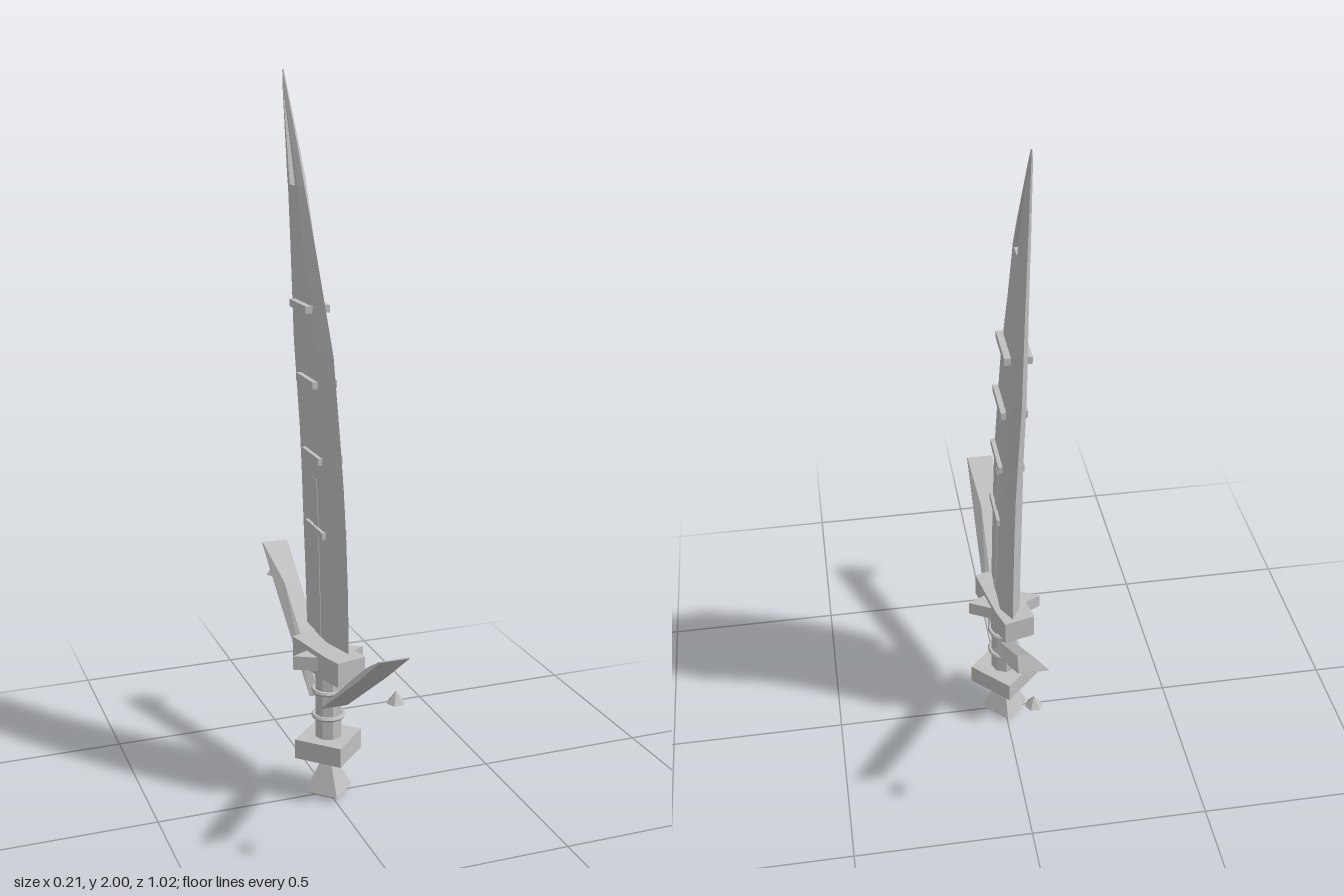
import * as THREE from 'three';

const steel = new THREE.MeshStandardMaterial({ color: 0xc0c0c0, flatShading: true });
steel.name = 'steel grey';

function add(parent, name, geometry, x = 0, y = 0, z = 0) {
  const mesh = new THREE.Mesh(geometry, steel);
  mesh.name = name;
  mesh.position.set(x, y, z);
  parent.add(mesh);
  return mesh;
}

// Closed solid through matching loops of points, counter-clockwise seen from the last loop
function loft(loops) {
  const n = loops[0].length;
  const out = [];
  const tri = (a, b, c) => out.push(...a, ...b, ...c);
  for (let k = 0; k < loops.length - 1; k++) {
    const a = loops[k], b = loops[k + 1];
    for (let i = 0; i < n; i++) {
      const j = (i + 1) % n;
      tri(a[i], a[j], b[j]);
      tri(a[i], b[j], b[i]);
    }
  }
  const first = loops[0], last = loops[loops.length - 1];
  for (let i = 1; i < n - 1; i++) {
    tri(first[0], first[i + 1], first[i]);
    tri(last[0], last[i], last[i + 1]);
  }
  const g = new THREE.BufferGeometry();
  g.setAttribute('position', new THREE.Float32BufferAttribute(out, 3));
  g.computeVertexNormals();
  return g;
}

// Upright prism with the given number of sides
const prism = (top, bottom, h, sides) => new THREE.CylinderGeometry(top, bottom, h, sides);

function buildBlade(group) {
  // height, cutting edge, front ridge, rear ridge, spine, half thickness
  const rows = [
    [0.49, 0.16, 0.06, -0.10, -0.15, 0.028],
    [0.65, 0.153, 0.05, -0.115, -0.16, 0.027],
    [0.81, 0.138, 0.035, -0.135, -0.173, 0.026],
    [0.94, 0.118, 0.02, -0.15, -0.19, 0.025],
    [1.05, 0.095, 0.0, -0.17, -0.213, 0.023],
    [1.28, 0.04, -0.055, -0.225, -0.27, 0.020],
    [1.545, -0.10, -0.155, -0.262, -0.30, 0.016],
    [1.70, -0.187, -0.21, -0.285, -0.322, 0.014],
  ];
  add(group, 'blade', loft(rows.map(([y, f, r1, r2, b, t]) => [
    [0, y, f], [t, y, r1], [t, y, r2], [0, y, b], [-t, y, r2], [-t, y, r1],
  ])));

  // Two prongs either side of the slot, meeting at the tip
  const front = [[1.70, -0.187, -0.208, -0.225, 0.014], [1.79, -0.235, -0.252, -0.265, 0.011],
    [1.96, -0.338, -0.345, -0.35, 0.005], [2.0, -0.362, -0.363, -0.364, 0.002]];
  add(group, 'frontProng', loft(front.map(([y, f, r, a, t]) => [
    [0, y, f], [t, y, r], [t, y, a], [-t, y, a], [-t, y, r],
  ])));
  const rear = [[1.70, -0.27, -0.288, -0.322, 0.014],
    [1.96, -0.35, -0.353, -0.359, 0.005], [2.0, -0.362, -0.363, -0.365, 0.002]];
  add(group, 'rearProng', loft(rear.map(([y, a, r, b, t]) => [
    [t, y, a], [t, y, r], [0, y, b], [-t, y, r], [-t, y, a],
  ])));

  // Raised strip along the lower blade
  const strip = [[0.49, 0.016, 0.0295], [0.65, 0.008, 0.0285], [0.81, -0.007, 0.0275], [0.93, -0.022, 0.0265]];
  add(group, 'centreStrip', loft(strip.map(([y, z, t]) => [
    [t, y, z], [t, y, z - 0.038], [-t, y, z - 0.038], [-t, y, z],
  ])));

  // Cross bars
  for (const [y, z] of [[0.79, -0.022], [0.99, -0.052], [1.19, -0.095], [1.385, -0.15]]) {
    add(group, 'crossBar', new THREE.BoxGeometry(0.07, 0.02, 0.135), 0, y, z);
  }
}

function buildHilt(group) {
  // Twisted six-cornered guard
  const half = [[0.07, 0.103], [0.035, -0.07], [0.017, -0.125]];
  const corners = [...half, ...half.map(([x, z]) => [-x, -z])];
  const shape = new THREE.Shape(corners.map(([x, z]) => new THREE.Vector2(x, -z)));
  const guard = new THREE.ExtrudeGeometry(shape, { depth: 0.07, bevelEnabled: false });
  guard.rotateX(-Math.PI / 2);
  add(group, 'guard', guard, 0, 0.38, 0);
  add(group, 'guardSpike', prism(0.104, 0.104, 0.04, 4), 0, 0.415, 0).scale.z = 0.53;

  // Grip with two rings
  add(group, 'grip', prism(0.039, 0.039, 0.22, 8), 0, 0.28, 0);
  for (const y of [0.245, 0.322]) {
    const ring = new THREE.TorusGeometry(0.042, 0.007, 6, 16);
    ring.rotateX(Math.PI / 2);
    add(group, 'gripRing', ring, 0, y, 0);
  }

  // Pommel
  add(group, 'pommelBlock', prism(0.1, 0.1, 0.057, 4), 0, 0.153, 0);
  add(group, 'pommelCone', prism(0.008, 0.07, 0.115, 4), 0, 0.0725, 0);
  add(group, 'pommelFoot', prism(0.07, 0.042, 0.015, 4), 0, 0.0075, 0);
}

// Slanted wing with a bevelled upper side, and the stud beside its tip
function buildWing(name, turn) {
  const wing = new THREE.Group();
  wing.name = name;
  // bottom z and y, top z and y, half width on top
  const rows = [[0.045, 0.285, 0.04, 0.305, 0.018], [0.325, 0.485, 0.333, 0.525, 0.018],
    [0.48, 0.603, 0.479, 0.606, 0.039]];
  add(wing, 'wingPlate', loft(rows.map(([z, y, zt, yt, w]) => [
    [-0.04, y, z], [0.04, y, z], [w, yt, zt], [-w, yt, zt],
  ])));
  add(wing, 'stud', new THREE.ConeGeometry(0.024, 0.032, 6), 0, 0.511, 0.49).rotation.y = Math.PI / 6;
  wing.rotation.y = turn;
  return wing;
}

export function createModel() {
  const model = new THREE.Group();
  model.name = 'sword';
  buildBlade(model);
  buildHilt(model);
  model.add(buildWing('frontWing', 0), buildWing('rearWing', Math.PI));
  return model;
}
